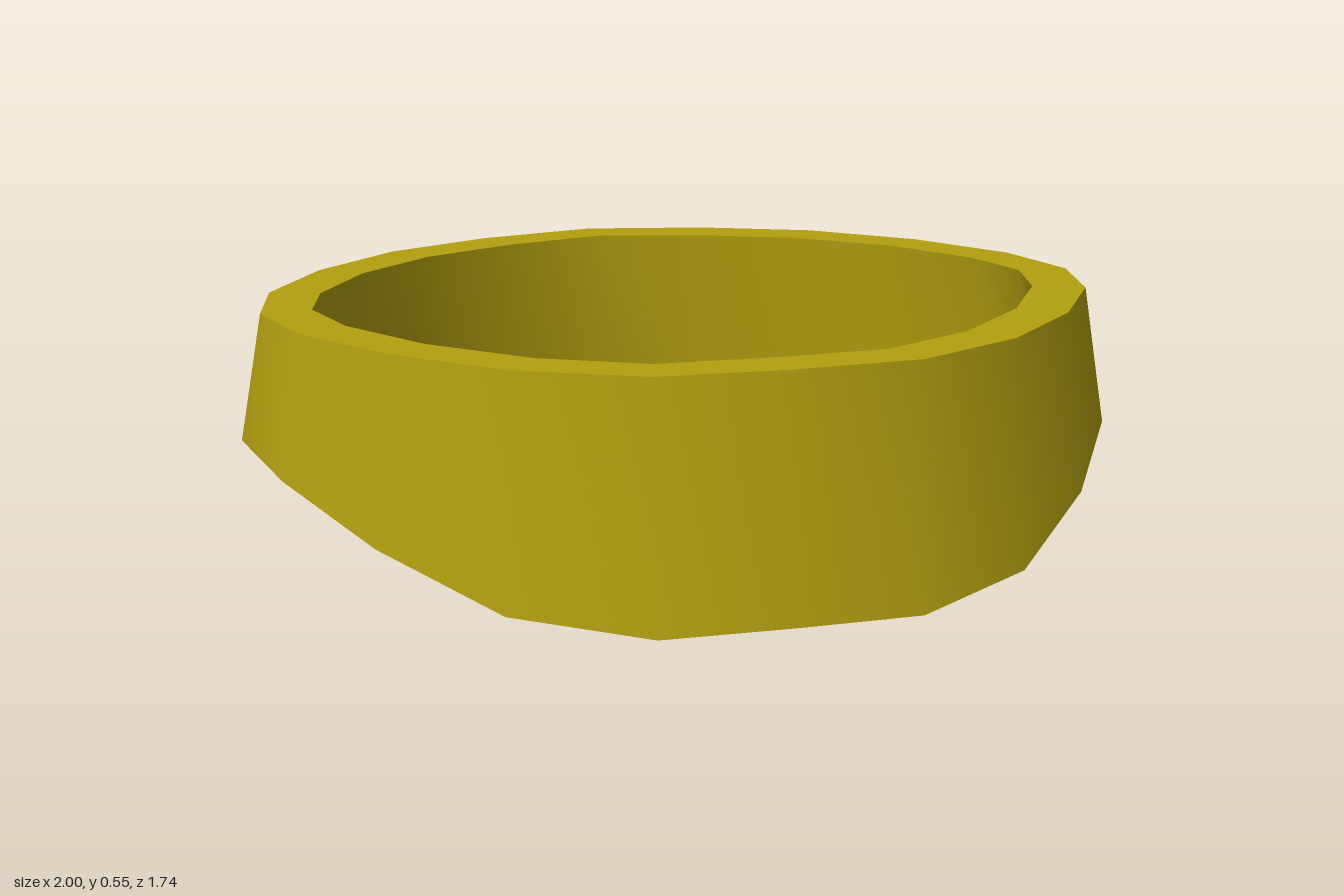
import * as THREE from 'three';

// Half outlines [x, y, z], running from the middle of the back round the left side to the front
const outerBottom = [
  [0, 0.225, -0.87], [0.3, 0.22, -0.8], [0.565, 0.213, -0.68], [0.79, 0.238, -0.46],
  [0.945, 0.26, -0.21], [1, 0.27, 0.03], [0.945, 0.235, 0.27], [0.79, 0.14, 0.5],
  [0.565, 0.04, 0.71], [0.285, 0.008, 0.845], [0, 0.015, 0.87],
];
const outerTop = [
  [0, 0.55, -0.82], [0.285, 0.55, -0.755], [0.54, 0.55, -0.635], [0.75, 0.55, -0.44],
  [0.9, 0.55, -0.2], [0.95, 0.55, 0.03], [0.9, 0.548, 0.25], [0.75, 0.545, 0.485],
  [0.54, 0.542, 0.685], [0.285, 0.54, 0.81], [0, 0.54, 0.825],
];
const innerTop = [
  [0, 0.55, -0.71], [0.245, 0.55, -0.645], [0.47, 0.55, -0.54], [0.66, 0.55, -0.37],
  [0.79, 0.55, -0.16], [0.835, 0.55, 0.02], [0.79, 0.548, 0.2], [0.66, 0.545, 0.41],
  [0.47, 0.542, 0.59], [0.25, 0.54, 0.7], [0, 0.54, 0.71],
];
const innerBottom = [
  [0, 0.208, -0.745], [0.26, 0.2, -0.69], [0.5, 0.2, -0.57], [0.7, 0.22, -0.39],
  [0.835, 0.24, -0.18], [0.88, 0.25, 0.04], [0.835, 0.22, 0.23], [0.7, 0.13, 0.43],
  [0.5, 0.03, 0.62], [0.265, 0.002, 0.735], [0, 0, 0.745],
];

// Mirror a half outline into a closed loop
function closeLoop(half) {
  const mirrored = half.slice(1, -1).reverse().map(([x, y, z]) => [-x, y, z]);
  return [...half, ...mirrored];
}

// Smooth closed strip between two loops; separate strips keep the rims sharp
function strip(from, to) {
  const n = from.length;
  const index = [];
  for (let i = 0; i < n; i++) {
    const j = (i + 1) % n;
    index.push(i, n + i, n + j, i, n + j, j);
  }
  const geometry = new THREE.BufferGeometry();
  geometry.setAttribute('position', new THREE.Float32BufferAttribute([...from, ...to].flat(), 3));
  geometry.setIndex(index);
  geometry.computeVertexNormals();
  return geometry;
}

export function createModel() {
  const group = new THREE.Group();
  group.name = 'band';
  const material = new THREE.MeshStandardMaterial({ color: 0xb3a010 });

  const loops = [outerBottom, outerTop, innerTop, innerBottom].map(closeLoop);
  const names = ['outerWall', 'topRim', 'innerWall', 'bottomRim'];
  names.forEach((name, i) => {
    const mesh = new THREE.Mesh(strip(loops[i], loops[(i + 1) % 4]), material);
    mesh.name = name;
    group.add(mesh);
  });
  return group;
}
